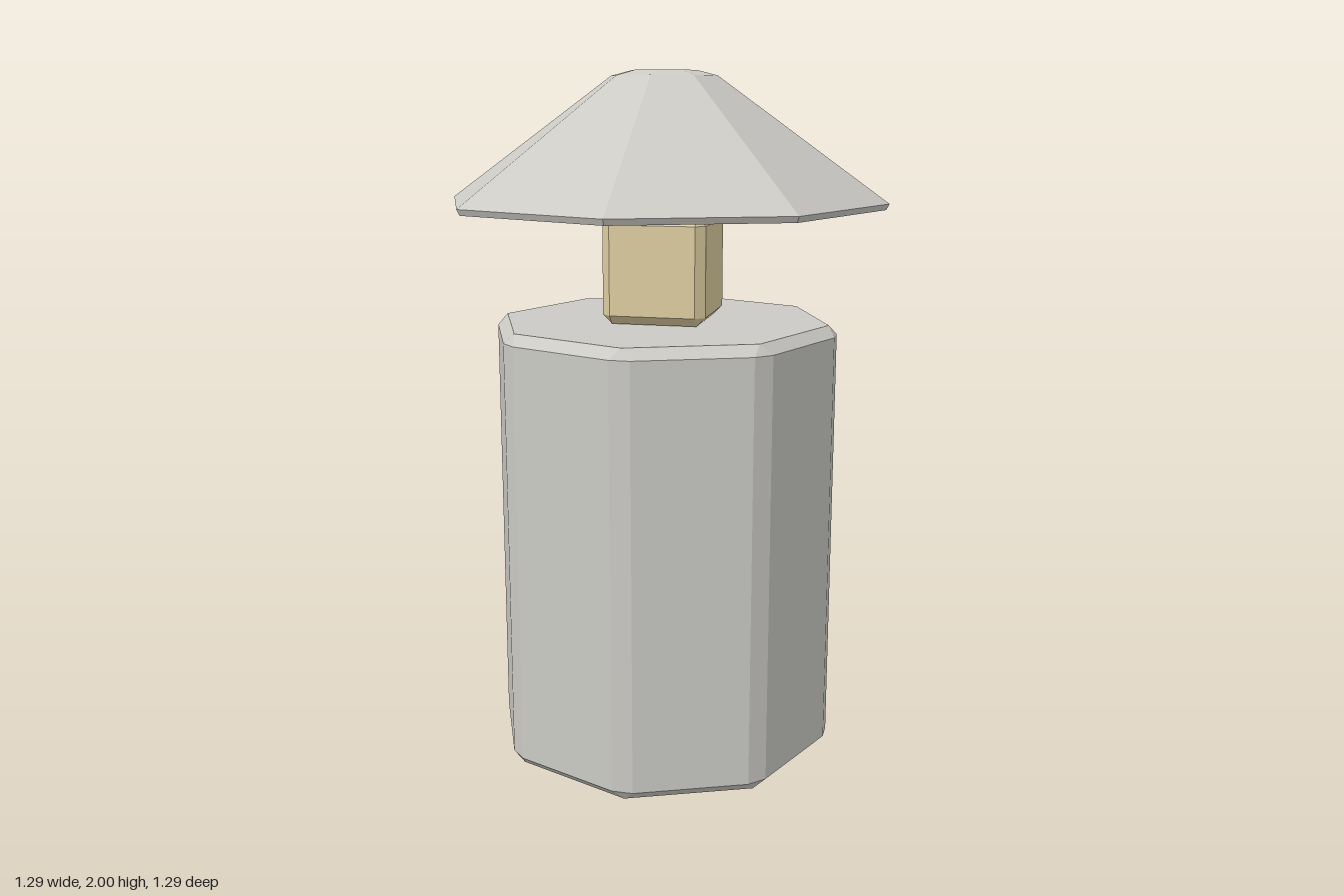
import * as THREE from 'three';

// Ring of n corners at circumradius r; each corner is a pair of points, spread apart by its bevel half-width w.
function ring(n, turn, y, r, w = 0) {
  const points = [];
  for (let i = 0; i < n; i++) {
    const a = turn + (i / n) * Math.PI * 2;
    const s = Math.sin(a), c = Math.cos(a);
    for (const side of [-w, w]) {
      points.push(new THREE.Vector3(r * s + side * c, y, r * c - side * s));
    }
  }
  return points;
}

// Skin the rings from bottom to top and close both ends.
function loft(rings) {
  const positions = [];
  const tri = (a, b, c) => {
    if (a.distanceTo(b) < 1e-6 || b.distanceTo(c) < 1e-6 || c.distanceTo(a) < 1e-6) return;
    for (const p of [a, b, c]) positions.push(p.x, p.y, p.z);
  };
  const count = rings[0].length;
  const low = rings[0], high = rings[rings.length - 1];
  const lowMid = new THREE.Vector3(0, low[0].y, 0);
  const highMid = new THREE.Vector3(0, high[0].y, 0);
  for (let i = 0; i < count; i++) {
    const j = (i + 1) % count;
    for (let k = 0; k < rings.length - 1; k++) {
      const a = rings[k], b = rings[k + 1];
      tri(a[i], a[j], b[j]);
      tri(a[i], b[j], b[i]);
    }
    tri(lowMid, low[j], low[i]);
    tri(highMid, high[i], high[j]);
  }
  const geometry = new THREE.BufferGeometry();
  geometry.setAttribute('position', new THREE.Float32BufferAttribute(positions, 3));
  geometry.computeVertexNormals();
  return geometry;
}

// Prism with bevelled edges and small triangular corner facets.
function bevelledPrism(n, turn, y0, y1, bevel, capR, sideR, w) {
  return loft([
    ring(n, turn, y0, capR),
    ring(n, turn, y0 + bevel, sideR, w),
    ring(n, turn, y1 - bevel, sideR, w),
    ring(n, turn, y1, capR),
  ]);
}

export function createModel() {
  const stone = new THREE.MeshStandardMaterial({ color: 0xcbcac5, flatShading: true });
  stone.name = 'pale grey';
  const glow = new THREE.MeshStandardMaterial({ color: 0xdccca0, flatShading: true });
  glow.name = 'warm cream';

  const group = new THREE.Group();
  group.name = 'bollardLamp';
  const add = (name, geometry, material) => {
    const mesh = new THREE.Mesh(geometry, material);
    mesh.name = name;
    group.add(mesh);
  };

  // Eight-sided post
  add('post', bevelledPrism(8, 0, 0, 1.29, 0.03, 0.485, 0.505, 0.03), stone);

  // Square light block: half-width 0.15, bevel 0.026
  const half = 0.15, bevel = 0.026;
  add('lightBlock', bevelledPrism(4, Math.PI / 4, 1.292, 1.602, bevel,
    (half - bevel) * Math.SQRT2, (2 * half - bevel) / Math.SQRT2, bevel / Math.SQRT2), glow);

  // Eight-sided roof floating above the light
  const roofProfile = [[0.635, 1.62], [0.644, 1.637], [0.155, 1.985], [0.095, 2]];
  add('roof', loft(roofProfile.map(([r, y]) => ring(8, 0, y, r))), stone);

  return group;
}
